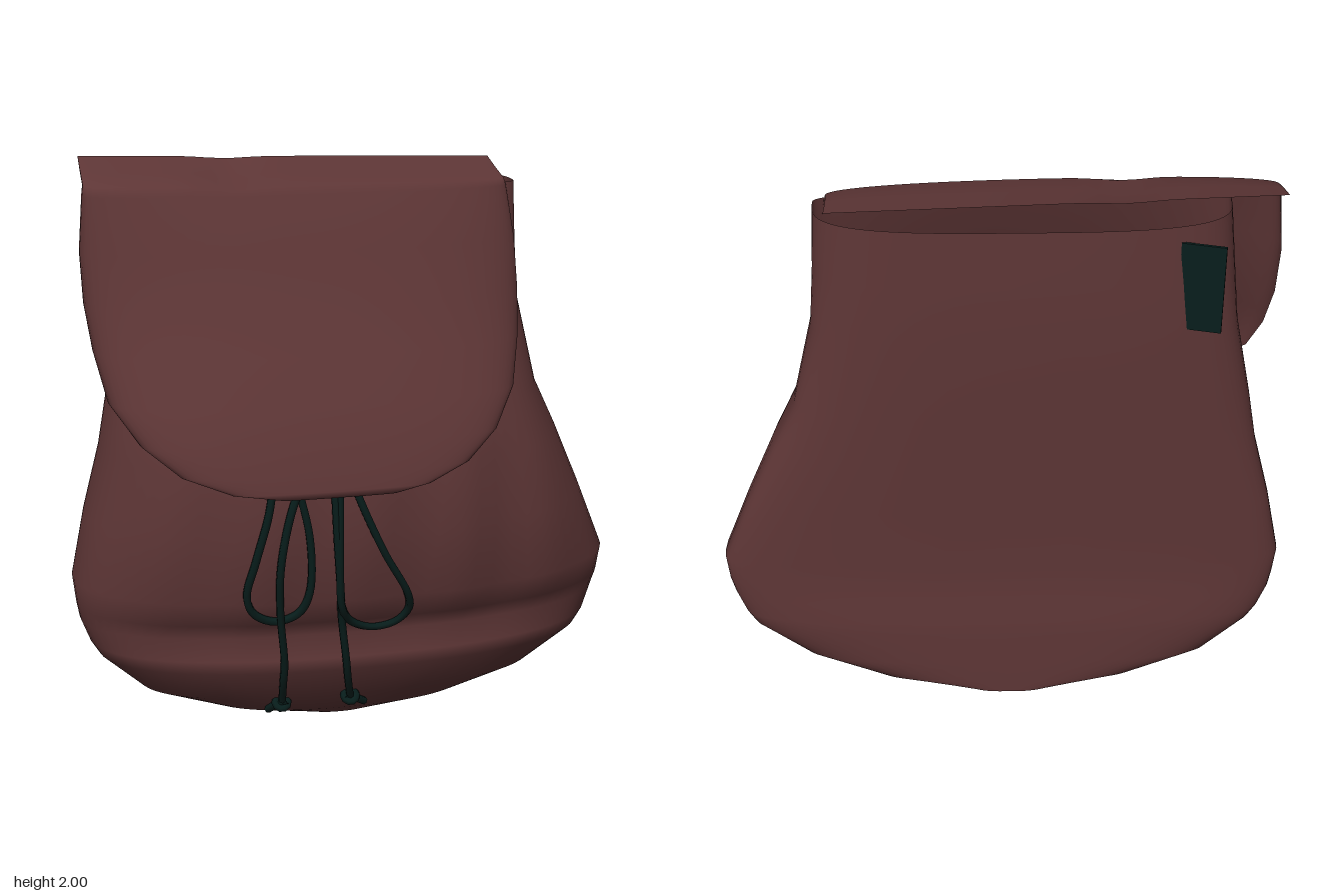
import * as THREE from 'three';
import { mergeVertices } from 'three/addons/utils/BufferGeometryUtils.js';

const leather = new THREE.MeshStandardMaterial({ color: 0x5e3636, side: THREE.DoubleSide });
leather.name = 'brown leather';
const cord = new THREE.MeshStandardMaterial({ color: 0x081e1c });
cord.name = 'dark cord';

// Body sections: y, right edge, left edge, front z, side z, back z
const BODY = [
  [0, -0.2, 0.14, -0.06, -0.2, -0.325],
  [0.05, -0.5, 0.46, 0.01, -0.2, -0.325],
  [0.14, -0.74, 0.7, 0.09, -0.19, -0.325],
  [0.27, -0.88, 0.87, 0.165, -0.19, -0.322],
  [0.32, -0.91, 0.9, 0.175, -0.19, -0.32],
  [0.4, -0.94, 0.93, 0.145, -0.19, -0.312],
  [0.46, -0.95, 0.945, 0.185, -0.19, -0.307],
  [0.56, -0.96, 0.955, 0.245, -0.19, -0.302],
  [0.8, -0.91, 0.86, 0.275, -0.19, -0.31],
  [1.03, -0.85, 0.76, 0.275, -0.18, -0.318],
  [1.2, -0.82, 0.68, 0.23, -0.17, -0.325],
  [1.5, -0.76, 0.61, 0.09, -0.15, -0.335],
  [1.7, -0.74, 0.595, 0.01, -0.13, -0.33],
  [1.9, -0.72, 0.585, -0.05, -0.12, -0.322],
];
const FRONT_POWER = 2.3;

// Flap rows: y, right edge, left edge, centre z, right rim z, left rim z
const FLAP = [
  [1.98, -0.87, 0.54, -0.29, -0.29, -0.29],
  [1.95, -0.87, 0.54, -0.15, -0.18, -0.18],
  [1.925, -0.87, 0.545, -0.03, -0.1, -0.1],
  [1.9, -0.875, 0.55, 0.0, -0.09, -0.09],
  [1.72, -0.89, 0.575, 0.06, -0.1, -0.065],
  [1.55, -0.885, 0.58, 0.125, -0.08, -0.03],
  [1.4, -0.865, 0.57, 0.19, -0.03, 0.02],
  [1.25, -0.83, 0.53, 0.26, 0.06, 0.12],
  [1.13, -0.74, 0.45, 0.3, 0.17, 0.21],
  [1.04, -0.62, 0.34, 0.325, 0.25, 0.27],
  [0.985, -0.46, 0.2, 0.335, 0.305, 0.31],
  [0.965, -0.3, 0.08, 0.338, 0.33, 0.33],
];

// Linear lookup of a body section at height y
function sectionAt(y) {
  let i = 0;
  while (i < BODY.length - 2 && BODY[i + 1][0] < y) i++;
  const k = (y - BODY[i][0]) / (BODY[i + 1][0] - BODY[i][0]);
  return BODY[i].map((v, n) => THREE.MathUtils.lerp(v, BODY[i + 1][n], k));
}

// Soft vertical pleats in the front panel
const pleat = (x, y) =>
  0.016 * Math.cos(19 * (Math.abs(x) - 0.67)) * Math.exp(-(((y - 0.85) / 0.33) ** 2));

function frontZ(x, y) {
  const [, x0, x1, zf, zs] = sectionAt(y);
  const u = Math.min(1, Math.abs((2 * x - x0 - x1) / (x1 - x0)));
  const height = (1 - u ** FRONT_POWER) ** (1 / FRONT_POWER);
  return zs + (zf - zs + pleat(x, y)) * height;
}

// Smooth surface through rows of [x, y, z] points
function skin(rows) {
  const n = rows[0].length;
  const index = [];
  for (let i = 0; i < rows.length - 1; i++) {
    for (let j = 0; j < n - 1; j++) {
      const a = i * n + j;
      index.push(a, a + n, a + 1, a + 1, a + n, a + n + 1);
    }
  }
  const g = new THREE.BufferGeometry();
  g.setAttribute('position', new THREE.Float32BufferAttribute(rows.flat(2), 3));
  g.setIndex(index);
  const merged = mergeVertices(g, 1e-5);
  merged.computeVertexNormals();
  return merged;
}

function bodyRing(y) {
  const [, x0, x1, , zs, zb] = sectionAt(y);
  const ring = [];
  const n = 72;
  for (let j = 0; j <= n; j++) {
    const t = ((j % n) / n) * Math.PI * 2;
    const c = Math.cos(t), s = Math.sin(t);
    const e = 2 / (s >= 0 ? FRONT_POWER : 3.2);
    const x = (x0 + x1) / 2 + ((x1 - x0) / 2) * Math.sign(c) * Math.abs(c) ** e;
    const z = s >= 0 ? frontZ(x, y) : zs - (zs - zb) * Math.abs(s) ** e;
    ring.push([x, y, z]);
  }
  return ring;
}

function flapRow([y, x0, x1, zc, zRight, zLeft], i) {
  const row = [];
  const n = 32;
  for (let j = 0; j <= n; j++) {
    const u = Math.sin((j / n - 0.5) * Math.PI);
    const x = (x0 + x1) / 2 + (u * (x1 - x0)) / 2;
    const zr = u < 0 ? zRight : zLeft;
    const z = zr + (zc - zr) * Math.max(0, 1 - Math.abs(u) ** 2.4) ** (1 / 2.1);
    // The top slopes to one side and has a small dent behind the ridge
    const slope = -0.024 * u * ([1, 0.7, 0.5, 0.3][i] ?? 0);
    const dent = ([0.008, 0.025, 0.012][i] ?? 0) * Math.exp(-(((x + 0.38) / 0.09) ** 2));
    row.push([x, y + slope - dent, z]);
  }
  // Turned-in hem at both sides
  const hem = ([x, py, z]) => [x, py, Math.max(z - 0.03, -0.29)];
  return [hem(row[0]), ...row, hem(row[n])];
}

export function createModel() {
  const model = new THREE.Group();
  const add = (name, geometry, material, parent = model) => {
    const mesh = new THREE.Mesh(geometry, material);
    mesh.name = name;
    parent.add(mesh);
    return mesh;
  };

  // Bag body, open at the top under the flap, with a flat base
  const rings = BODY.map((row) => bodyRing(row[0]));
  const baseCentre = rings[0].map(() => [-0.03, 0, -0.2]);
  add('body', skin(rings), leather);
  add('bodyBase', skin([baseCentre, rings[0]]), leather);

  // Flap folded over the front, with a turned-in lower hem
  const flapRows = FLAP.map(flapRow);
  flapRows.push(flapRows[flapRows.length - 1].map(([x, y, z]) => [x, y, z - 0.035]));
  add('flap', skin(flapRows), leather);

  // Drawstring bows and tails lying on the front panel
  const drawstring = new THREE.Group();
  drawstring.name = 'drawstring';
  model.add(drawstring);
  const addCord = (name, points) => {
    const path = points.map(([x, y]) => new THREE.Vector3(x, y, frontZ(x, y) + 0.016));
    const curve = new THREE.CatmullRomCurve3(path);
    add(name, new THREE.TubeGeometry(curve, points.length * 6, 0.014, 6), cord, drawstring);
  };
  addCord('rightLoop', [[-0.32, 1.03], [-0.34, 0.9], [-0.38, 0.74], [-0.41, 0.6], [-0.385, 0.53],
    [-0.31, 0.49], [-0.235, 0.52], [-0.2, 0.6], [-0.2, 0.8], [-0.25, 1.03]]);
  addCord('rightTail', [[-0.22, 1.03], [-0.27, 0.88], [-0.3, 0.7], [-0.295, 0.52],
    [-0.275, 0.32], [-0.275, 0.24], [-0.27, 0.14]]);
  addCord('leftLoop', [[-0.07, 1.03], [-0.03, 0.92], [0.05, 0.74], [0.14, 0.57], [0.15, 0.5],
    [0.11, 0.445], [0.03, 0.43], [-0.05, 0.47], [-0.09, 0.55], [-0.1, 0.75], [-0.1, 1.03]]);
  addCord('leftTail', [[-0.12, 1.03], [-0.11, 0.8], [-0.095, 0.6], [-0.085, 0.5],
    [-0.06, 0.31], [-0.05, 0.24], [-0.03, 0.14]]);
  addCord('rightEnd', [[-0.25, 0.14], [-0.28, 0.12], [-0.31, 0.075]]);
  addCord('leftEnd', [[-0.05, 0.15], [-0.01, 0.125], [0.03, 0.095]]);
  for (const [name, x, y] of [['rightKnot', -0.27, 0.125], ['leftKnot', -0.03, 0.14]]) {
    const knot = add(name, new THREE.TorusGeometry(0.022, 0.014, 6, 10), cord, drawstring);
    knot.position.set(x, y, frontZ(x, y) + 0.015);
    knot.rotation.x = -0.7;
  }

  // Strap patch at the upper corner of the back panel
  const patch = add('backPatch', new THREE.BoxGeometry(0.14, 0.31, 0.009), cord);
  patch.position.set(-0.62, 1.69, -0.312);
  patch.rotation.y = -0.25;

  return model;
}
